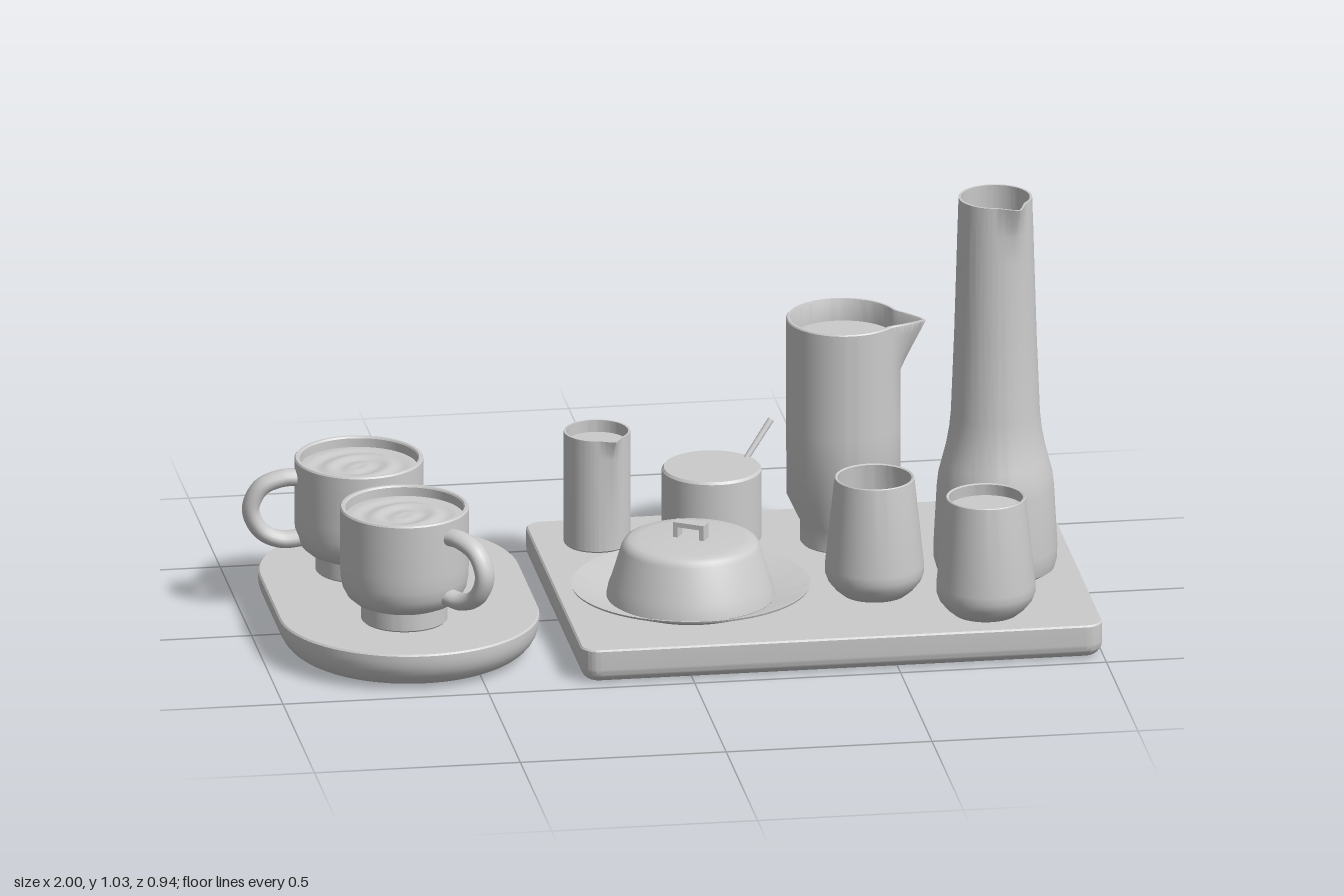
import * as THREE from 'three';
import { toCreasedNormals } from 'three/addons/utils/BufferGeometryUtils.js';

const material = new THREE.MeshStandardMaterial({ color: 0xcccccc });

function add(parent, geometry, name, x = 0, y = 0, z = 0) {
  const mesh = new THREE.Mesh(geometry, material);
  mesh.name = name;
  mesh.position.set(x, y, z);
  parent.add(mesh);
  return mesh;
}

// Turned part; the profile runs from the bottom centre up the outside and back down the inside
const lathe = (profile, segments = 64) =>
  new THREE.LatheGeometry(profile.map(([r, y]) => new THREE.Vector2(r, y)), segments);
const creased = (geometry) => toCreasedNormals(geometry, 0.6);

// Pulls the rim outwards around one direction to make a pouring lip
function pullSpout(geometry, { angle, reach, width, from, to, power = 1.5 }) {
  const p = geometry.attributes.position;
  for (let i = 0; i < p.count; i++) {
    const x = p.getX(i), y = p.getY(i), z = p.getZ(i), r = Math.hypot(x, z);
    if (y <= from || r < 0.01) continue;
    let d = Math.atan2(z, x) - angle;
    d = Math.abs(Math.atan2(Math.sin(d), Math.cos(d)));
    const side = Math.max(0, 1 - d / width) ** power;
    const k = 1 + (reach * side * Math.min(1, (y - from) / (to - from))) / r;
    p.setXYZ(i, x * k, y, z * k);
  }
  return geometry;
}

// Rounded-rectangle slab lofted through rows of [inset, y]
function slab(w, d, radius, rows, steps = 20) {
  const pos = [], index = [], n = 4 * (steps + 1);
  const signs = [[1, 1], [-1, 1], [-1, -1], [1, -1]];
  const levels = [[null, rows[0][1]], ...rows, [null, rows[rows.length - 1][1]]];
  for (const [inset, y] of levels) {
    signs.forEach(([sx, sz], q) => {
      for (let i = 0; i <= steps; i++) {
        const a = (q + i / steps) * Math.PI / 2;
        if (inset === null) pos.push(0, y, 0);
        else pos.push(sx * (w / 2 - radius) + Math.cos(a) * (radius - inset), y,
          sz * (d / 2 - radius) + Math.sin(a) * (radius - inset));
      }
    });
  }
  for (let j = 0; j < levels.length - 1; j++) {
    for (let i = 0; i < n; i++) {
      const p = j * n + i, q = j * n + (i + 1) % n;
      index.push(p, p + n, q, q, p + n, q + n);
    }
  }
  const g = new THREE.BufferGeometry();
  g.setAttribute('position', new THREE.Float32BufferAttribute(pos, 3));
  g.setIndex(index);
  return creased(g);
}

// Quarter-round lower edge followed by a crisp top edge
function roundedEdge(rx, ry, top) {
  const rows = [];
  for (let i = 0; i <= 8; i++) {
    const a = (i / 8) * Math.PI / 2;
    rows.push([rx * (1 - Math.sin(a)), ry * (1 - Math.cos(a))]);
  }
  return [...rows, [0, top - 0.004], [0.004, top]];
}

const disc = (r) => new THREE.CircleGeometry(r, 48).rotateX(-Math.PI / 2);

// Foam surface with soft swirling ripples
function foam(r) {
  const g = new THREE.RingGeometry(0.0001, r, 48, 20).rotateX(-Math.PI / 2);
  const p = g.attributes.position;
  for (let i = 0; i < p.count; i++) {
    const x = p.getX(i), z = p.getZ(i), t = Math.hypot(x, z) / r;
    const swirl = Math.sin(t * 15 + 0.8 * Math.sin(2 * Math.atan2(z, x)));
    p.setY(i, 0.003 * swirl * t * (1 - t) * 4);
  }
  g.computeVertexNormals();
  return g;
}

function cup(handleAngle) {
  const g = new THREE.Group();
  g.name = 'cup';
  add(g, creased(lathe([[0, 0], [0.1, 0], [0.104, 0.004], [0.104, 0.045], [0.122, 0.053], [0.138, 0.067],
    [0.149, 0.088], [0.154, 0.115], [0.155, 0.15], [0.155, 0.284], [0.152, 0.288], [0.145, 0.288],
    [0.142, 0.284], [0.142, 0.22], [0, 0.22]])), 'cupBody');
  add(g, foam(0.1425), 'coffeeSurface', 0, 0.262, 0);
  const path = new THREE.CatmullRomCurve3([[0.145, 0.243], [0.185, 0.243], [0.238, 0.222], [0.263, 0.168],
    [0.238, 0.112], [0.19, 0.088], [0.135, 0.09]].map(([x, y]) => new THREE.Vector3(x, y, 0)));
  const handle = add(g, new THREE.TubeGeometry(path, 40, 0.021, 16).scale(1, 1, 1.25), 'cupHandle');
  handle.rotation.y = -handleAngle;
  return g;
}

function drinkingGlass(filled) {
  const g = new THREE.Group();
  g.name = 'drinkingGlass';
  add(g, creased(lathe([[0, 0], [0.06, 0], [0.078, 0.006], [0.096, 0.021], [0.112, 0.041], [0.119, 0.06],
    [0.119, 0.08], [0.096, 0.298], [0.094, 0.3], [0.089, 0.298], [0.112, 0.08], [0.11, 0.058],
    [0.092, 0.03], [0.07, 0.012], [0, 0.01]])), 'glassBody');
  if (filled) add(g, disc(0.092), 'drinkSurface', 0, 0.27, 0);
  return g;
}

function butterDish() {
  const g = new THREE.Group();
  g.name = 'butterDish';
  add(g, creased(lathe([[0, 0], [0.17, 0], [0.18, 0.004], [0.286, 0.045], [0.288, 0.05], [0.283, 0.05],
    [0.2, 0.018], [0, 0.014]])), 'plate');
  add(g, creased(lathe([[0, 0.015], [0.2, 0.015], [0.203, 0.02], [0.198, 0.045], [0.192, 0.06], [0.167, 0.142],
    [0.16, 0.154], [0.148, 0.16], [0.125, 0.162], [0, 0.165]])), 'dishCover');
  // Squared loop on the cover
  const knob = new THREE.Group();
  knob.name = 'coverHandle';
  for (const s of [-1, 1]) add(knob, new THREE.BoxGeometry(0.012, 0.04, 0.03), 'handlePost', s * 0.034, 0.02, 0);
  add(knob, new THREE.BoxGeometry(0.08, 0.012, 0.03), 'handleBar', 0, 0.036, 0);
  knob.position.y = 0.16;
  knob.rotation.y = -0.55;
  g.add(knob);
  return g;
}

function pitcher() {
  const g = new THREE.Group();
  g.name = 'pitcher';
  const outer = [[0, 0], [0.1, 0], [0.104, 0.004], [0.104, 0.055], [0.137, 0.125], [0.1375, 0.3], [0.1375, 0.44],
    [0.1375, 0.475], [0.1375, 0.51], [0.1375, 0.54], [0.1375, 0.567], [0.135, 0.57]];
  const inner = [[0.129, 0.57], [0.127, 0.565], [0.127, 0.51], [0.127, 0.44], [0.127, 0.4], [0, 0.4]];
  add(g, creased(pullSpout(lathe([...outer, ...inner], 96),
    { angle: 0.25, reach: 0.065, width: 0.5, from: 0.445, to: 0.57 })), 'pitcherBody');
  add(g, disc(0.129), 'milkSurface', 0, 0.515, 0);
  return g;
}

function carafe() {
  const g = new THREE.Group();
  g.name = 'carafe';
  const wall = [[0.148, 0.03], [0.149, 0.06], [0.141, 0.21], [0.137, 0.245], [0.128, 0.28], [0.119, 0.315],
    [0.111, 0.36], [0.107, 0.4], [0.099, 0.6], [0.093, 0.8], [0.091, 0.87], [0.09, 0.895], [0.0895, 0.915],
    [0.089, 0.93], [0.0885, 0.945]];
  const inside = wall.map(([r, y]) => [r - 0.006, y]).reverse();
  add(g, creased(pullSpout(lathe([[0, 0], [0.13, 0], [0.142, 0.008], ...wall, ...inside, [0.13, 0.012], [0, 0.01]], 96),
    { angle: 1.2, reach: 0.032, width: 0.5, from: 0.86, to: 0.945 })), 'carafeBody');
  return g;
}

function creamer() {
  const g = new THREE.Group();
  g.name = 'creamer';
  add(g, creased(pullSpout(lathe([[0, 0], [0.076, 0], [0.08, 0.004], [0.08, 0.235], [0.08, 0.255], [0.08, 0.27],
    [0.08, 0.285], [0.075, 0.285], [0.075, 0.255], [0.075, 0.235], [0, 0.235]], 96),
    { angle: 1.25, reach: 0.02, width: 0.4, from: 0.237, to: 0.285 })), 'creamerBody');
  add(g, disc(0.076), 'creamSurface', 0, 0.255, 0);
  return g;
}

function sugarPot() {
  const g = new THREE.Group();
  g.name = 'sugarPot';
  add(g, creased(lathe([[0, 0], [0.116, 0], [0.12, 0.004], [0.12, 0.174], [0.115, 0.18], [0, 0.18]])), 'potBody');
  // Spoon stem leaning out through the lid
  const a = new THREE.Vector3(0.072, 0.15, -0.045), b = new THREE.Vector3(0.158, 0.258, -0.093);
  const stem = add(g, new THREE.CylinderGeometry(0.008, 0.007, a.distanceTo(b), 12), 'spoonStem');
  stem.position.lerpVectors(a, b, 0.5);
  stem.quaternion.setFromUnitVectors(new THREE.Vector3(0, 1, 0), b.clone().sub(a).normalize());
  return g;
}

export function createModel() {
  const model = new THREE.Group();
  model.name = 'breakfastSet';
  const place = (part, x, y, z) => { part.position.set(x, y, z); model.add(part); };

  // Trays
  add(model, slab(1.267, 0.945, 0.045, roundedEdge(0.032, 0.035, 0.085)), 'rectangularTray', 0.3665, 0, 0);
  add(model, slab(0.628, 0.945, 0.314, roundedEdge(0.085, 0.08, 0.097)), 'ovalTray', -0.643, 0, 0);

  // Oval tray
  place(cup(Math.PI), -0.715, 0.097, -0.16);
  place(cup(0.9), -0.66, 0.097, 0.205);

  // Rectangular tray
  const top = 0.085;
  place(butterDish(), 0.043, top, 0.155);
  place(creamer(), -0.115, top, -0.3);
  place(sugarPot(), 0.163, top, -0.297);
  place(pitcher(), 0.472, top, -0.225);
  place(carafe(), 0.803, top, 0.024);
  place(drinkingGlass(false), 0.487, top, 0.17);
  place(drinkingGlass(true), 0.73, top, 0.35);
  return model;
}
